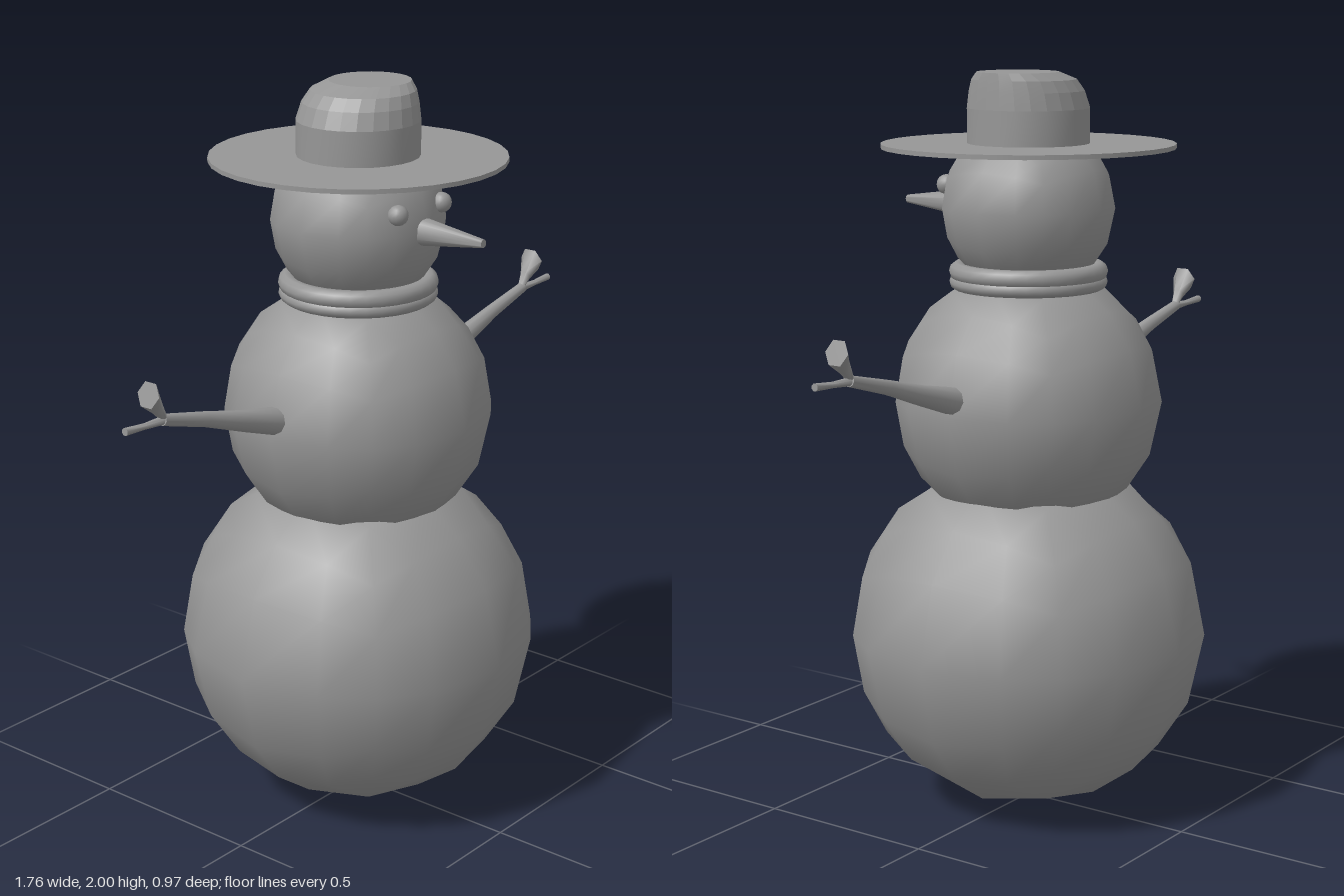
import * as THREE from 'three';
import { toCreasedNormals } from 'three/addons/utils/BufferGeometryUtils.js';

const material = new THREE.MeshStandardMaterial({ color: 0x969696 });

function add(parent, name, geometry, x = 0, y = 0, z = 0) {
  const mesh = new THREE.Mesh(geometry, material);
  mesh.name = name;
  mesh.position.set(x, y, z);
  parent.add(mesh);
  return mesh;
}

// Ball made by rounding a subdivided cube
function quadSphere(radius, segments = 4) {
  const geo = new THREE.BoxGeometry(2, 2, 2, segments, segments, segments);
  const pos = geo.attributes.position;
  const v = new THREE.Vector3();
  for (let i = 0; i < pos.count; i++) {
    v.fromBufferAttribute(pos, i).normalize();
    geo.attributes.normal.setXYZ(i, v.x, v.y, v.z);
    pos.setXYZ(i, v.x * radius, v.y * radius, v.z * radius);
  }
  return geo;
}

// Skin over elliptical rings [centre, u, v], capped at both ends; u x v points along the path
function loft(rings, sides, crease = 0.8) {
  const points = [], index = [];
  rings.forEach(([c, u, v], i) => {
    for (let j = 0; j < sides; j++) {
      const a = ((j + 0.5) / sides) * Math.PI * 2;
      for (let k = 0; k < 3; k++) points.push(c[k] + u[k] * Math.cos(a) + v[k] * Math.sin(a));
      if (i === 0) continue;
      const n = (j + 1) % sides, p = (i - 1) * sides, q = i * sides;
      index.push(p + j, p + n, q + n, p + j, q + n, q + j);
    }
  });
  const first = rings.length * sides, last = first - sides;
  points.push(...rings[0][0], ...rings[rings.length - 1][0]);
  for (let j = 0; j < sides; j++) {
    const n = (j + 1) % sides;
    index.push(first, n, j, first + 1, last + j, last + n);
  }
  const geo = new THREE.BufferGeometry();
  geo.setAttribute('position', new THREE.Float32BufferAttribute(points, 3));
  geo.setIndex(index);
  return toCreasedNormals(geo, crease);
}

// Tapered stick in the xy plane through stations [x, y, radius]
function stick(stations, sides = 10) {
  const [a, b] = [stations[0], stations[stations.length - 1]];
  const len = Math.hypot(b[0] - a[0], b[1] - a[1]);
  const c = (b[0] - a[0]) / len, s = (b[1] - a[1]) / len;
  return loft(stations.map(([x, y, r]) => [[x, y, 0], [-s * r, c * r, 0], [0, 0, r]]), sides);
}

function createArm(name) {
  const arm = new THREE.Group();
  arm.name = name;
  add(arm, 'armBranch', stick([[0.33, 1.172, 0.038], [0.46, 1.207, 0.028], [0.6, 1.25, 0.02], [0.75, 1.289, 0.015]]));
  add(arm, 'straightTwig', stick([[0.735, 1.287, 0.012], [0.81, 1.289, 0.008], [0.878, 1.293, 0.01]], 8));
  // Twig flaring out to a slanted end
  add(arm, 'flaredTwig', loft([
    [[0.742, 1.288, 0], [-0.006, 0.006, 0], [0, 0, 0.01]],
    [[0.765, 1.322, 0], [-0.01, 0.014, 0], [0, 0, 0.017]],
    [[0.795, 1.364, 0], [-0.011, 0.034, 0], [0, 0, 0.036]],
  ], 6, 1.1));
  return arm;
}

export function createModel() {
  const snowman = new THREE.Group();
  snowman.name = 'snowman';

  // Three stacked snowballs
  add(snowman, 'lowerBody', quadSphere(0.484), 0, 0.488, 0);
  add(snowman, 'upperBody', quadSphere(0.36), 0, 1.13, 0);
  add(snowman, 'head', quadSphere(0.231), 0, 1.645, 0);

  // Face
  for (const side of [-1, 1]) {
    add(snowman, side > 0 ? 'leftEye' : 'rightEye', quadSphere(0.027), side * 0.09, 1.7, 0.203);
  }
  const nose = add(snowman, 'nose',
    toCreasedNormals(new THREE.CylinderGeometry(0.011, 0.038, 0.2, 16), 0.8), 0, 1.642, 0.305);
  nose.rotation.x = Math.PI / 2;

  // Scarf: two rolls wound round the neck, the upper one thicker
  add(snowman, 'upperScarfRoll', new THREE.TorusGeometry(0.187, 0.025, 10, 32).rotateX(Math.PI / 2), 0, 1.475, 0);
  add(snowman, 'lowerScarfRoll', new THREE.TorusGeometry(0.192, 0.019, 10, 32).rotateX(Math.PI / 2), 0, 1.447, 0);

  // Arms: the right one is the left turned half round
  snowman.add(createArm('leftArm'));
  const rightArm = createArm('rightArm');
  rightArm.rotation.y = Math.PI;
  snowman.add(rightArm);

  // Hat: straight smooth crown wall, then a faceted top leaning to one side
  const hat = new THREE.Group();
  hat.name = 'hat';
  add(hat, 'hatBrim', toCreasedNormals(new THREE.CylinderGeometry(0.39, 0.39, 0.012, 32), 0.8), 0, 1.807, 0);
  const ring = ([y, r, lean]) => [[lean, y, 0], [0, 0, r], [r, 0, 0]];
  add(hat, 'crownWall', loft([[1.805, 0.162, 0], [1.905, 0.162, 0]].map(ring), 24));
  const top = [[1.905, 0.162, 0], [1.95, 0.152, 0.008], [1.98, 0.138, 0.02], [2.0, 0.108, 0.048]];
  add(hat, 'crownTop', loft(top.map(ring), 24, 0.1));
  snowman.add(hat);

  return snowman;
}
